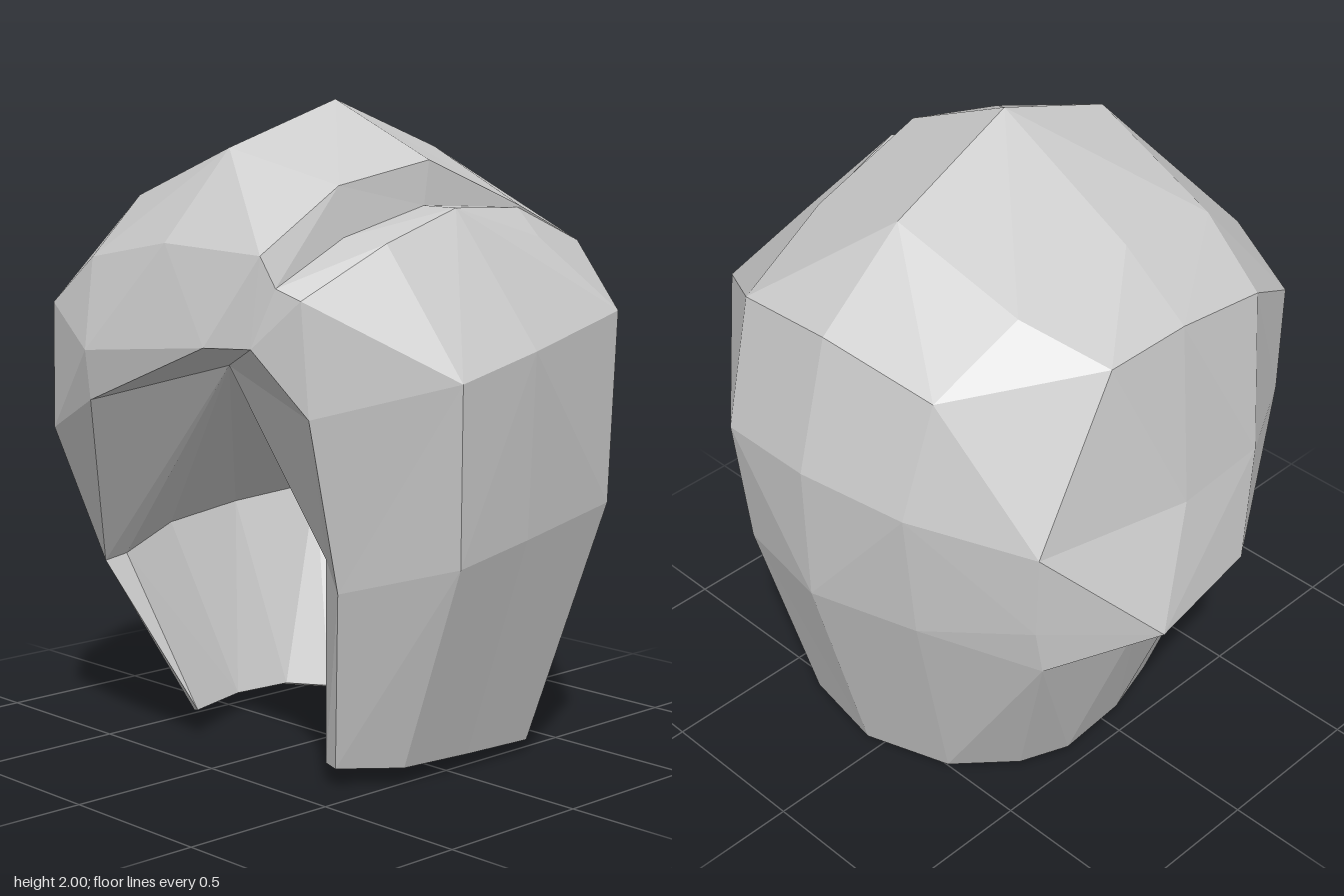
import * as THREE from 'three';

const material = new THREE.MeshStandardMaterial({
  color: 0xcccccc, flatShading: true, side: THREE.DoubleSide,
});

// Build a mesh from a list of triangles, each three [x, y, z] points
function meshFrom(name, tris) {
  const geo = new THREE.BufferGeometry();
  geo.setAttribute('position', new THREE.Float32BufferAttribute(tris.flat(2), 3));
  geo.computeVertexNormals();
  const mesh = new THREE.Mesh(geo, material);
  mesh.name = name;
  return mesh;
}

// Distance of the middle of an edge from the centre of the head
const bulge = (p, q) =>
  Math.hypot(p[0] + q[0], p[1] + q[1] - 1.6, p[2] + q[2]);

// Skin neighbouring cross-sections, folding each quad along its outer diagonal;
// repeated points collapse to triangles
function loft(...rows) {
  const tris = [];
  const add = (a, b, c) => { if (a !== b && b !== c && a !== c) tris.push([a, b, c]); };
  for (let r = 0; r < rows.length - 1; r++) {
    for (let i = 0; i < rows[r].length - 1; i++) {
      const a = rows[r][i], b = rows[r][i + 1], c = rows[r + 1][i + 1], d = rows[r + 1][i];
      if (bulge(a, c) > bulge(b, d)) {
        add(a, d, c);
        add(a, c, b);
      } else {
        add(a, d, b);
        add(b, d, c);
      }
    }
  }
  return tris;
}

// Triangles from one point to a chain of points
const fan = (p, chain) => chain.slice(1).map((q, i) => [p, chain[i], q]);

export function createModel() {
  const group = new THREE.Group();
  group.name = 'hair';

  // Lower hair: outer rings from the left front edge, round the back, to the right
  const mid = [
    [0.52, 0.62, 0.47], [0.76, 0.69, 0.22], [0.77, 0.74, -0.05], [0.75, 0.8, -0.43],
    [0.39, 0.73, -0.73], [0.05, 0.735, -0.79], [-0.3, 0.74, -0.69], [-0.63, 0.67, -0.5],
    [-0.68, 0.64, -0.15], [-0.62, 0.62, 0.2], [-0.48, 0.57, 0.52],
  ];
  const low = [
    [0.4, 0.06, 0.365], [0.52, 0.055, 0.2], [0.54, 0.05, -0.05], [0.54, 0.04, -0.315],
    [0.34, 0.015, -0.55], [0.06, 0, -0.59], [-0.22, 0.005, -0.5], [-0.385, 0.02, -0.34],
    [-0.46, 0.04, -0.2], [-0.45, 0.05, 0.04], [-0.39, 0.05, 0.24],
  ];
  // Inner rings, with the bevelled front edges set by hand
  const inset = ([x, y, z]) => [x * 0.91, y + 0.015, z * 0.93];
  const midIn = [[0.43, 0.7, 0.43], ...mid.slice(1, 10).map(inset), [-0.45, 0.59, 0.46]];
  const lowIn = [[0.35, 0.065, 0.355], ...low.slice(1, 10).map(inset), [-0.29, 0.085, 0.31]];
  const rightTip = mid[10];

  // Shared points along seams
  const sideTop = [-0.64, 1.62, -0.25], sideB = [-0.63, 1.61, 0.06];
  const sideC = [-0.61, 1.55, 0.41], sideD = [-0.51, 1.39, 0.68];
  const sideG = [-0.49, 1.01, 0.7], backSide = [-0.65, 1.12, -0.54];
  const backLeft = [0.39, 1.17, -0.78], seamBack = [0.42, 1.56, -0.66];
  const partEnd = [0.38, 1.32, 0.67], fringe = [0.26, 1.32, 0.74];
  const fringeLow = [-0.21, 1.13, 0.775], cheek = [0.53, 1.13, 0.59];
  const hemBack = [-0.63, 0.83, -0.53];

  // Parting: cap edge above, strand edge below
  const capEdge = [seamBack, [0.5, 1.685, -0.3], [0.49, 1.83, 0.08],
    [0.45, 1.765, 0.4], [0.41, 1.58, 0.66], partEnd];
  const strandIn = [seamBack, [0.5, 1.68, -0.29], [0.49, 1.7, 0.1],
    [0.46, 1.62, 0.39], [0.44, 1.49, 0.63], partEnd];

  // Crown: rows run from the back of the head over to the fringe
  const nape = [backSide, [-0.3, 1.17, -0.73], [0.05, 1.19, -0.8], backLeft];
  group.add(meshFrom('crown', loft(
    nape,
    [sideTop, [-0.32, 1.53, -0.62], [0.06, 1.6, -0.68], capEdge[0]],
    [sideTop, [-0.38, 1.71, -0.35], [0.06, 1.85, -0.385], capEdge[1]],
    [sideB, [-0.39, 1.765, 0.075], [0.12, 2, 0.1], capEdge[2]],
    [sideC, [-0.38, 1.71, 0.445], [0.1, 1.865, 0.5], capEdge[3]],
    [sideD, [-0.3, 1.54, 0.69], [0.06, 1.6, 0.71], capEdge[4]],
    [sideG, [-0.2, 1.28, 0.8], fringe, partEnd],
    [rightTip, fringeLow, fringe, partEnd],
  )));

  // Back of the head below the crown
  group.add(meshFrom('backHair', loft(nape, [hemBack, mid[6], mid[5], mid[4]])));

  // Swept lock bulging over the right side, with its underside
  const hem = [hemBack, [-0.84, 0.76, -0.21], [-0.77, 0.76, 0.22], rightTip];
  group.add(meshFrom('sideSweep', [
    ...loft(
      [sideTop, sideB, sideC, sideD],
      [backSide, [-0.74, 1.09, -0.02], [-0.7, 1.07, 0.34], sideG],
      hem,
    ),
    ...loft([mid[6], ...hem], mid.slice(6)),
  ]));

  // Left strand: ledge, outer face and the wall of the parting
  const strandOut = [seamBack, [0.62, 1.6, -0.25], [0.635, 1.7, 0.12],
    [0.61, 1.61, 0.37], [0.52, 1.46, 0.61]];
  const temple = [backLeft, [0.77, 1.38, -0.44], [0.84, 1.3, 0], [0.82, 1.23, 0.28], cheek];
  group.add(meshFrom('sideStrand', [
    ...loft(strandIn.slice(0, 5), strandOut, temple, mid.slice(0, 5).reverse()),
    ...loft([strandIn[4], strandOut[4]], [partEnd, cheek]),
  ]));
  group.add(meshFrom('parting', loft(capEdge, strandIn)));

  // Lower hair shell with thickness
  group.add(meshFrom('lowerHair', [
    ...loft(mid, low, lowIn, midIn),
    ...loft([mid[0], midIn[0]], [low[0], lowIn[0]]),
    ...loft([mid[10], midIn[10]], [low[10], lowIn[10]]),
    [cheek, mid[0], midIn[0]],
  ]));

  // Underside closing the crown behind the fringe
  group.add(meshFrom('underside',
    fan([0, 1.22, 0.42], [fringeLow, fringe, partEnd, cheek, ...midIn, rightTip, fringeLow])));

  return group;
}
